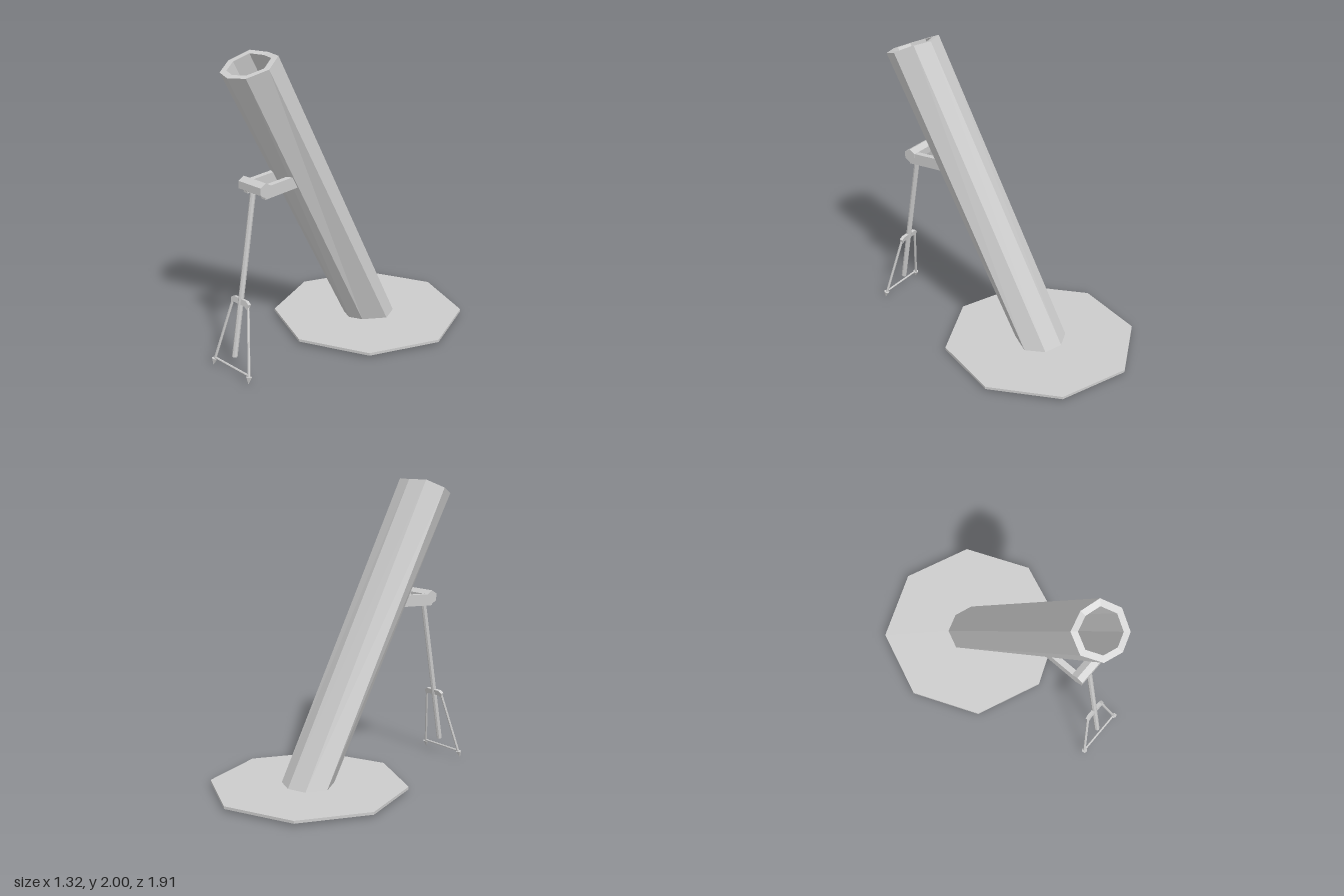
import * as THREE from 'three';

const mat = new THREE.MeshStandardMaterial({ color: 0xcccccc, flatShading: true, side: THREE.DoubleSide });
const V = (x, y, z) => new THREE.Vector3(x, y, z);

function add(parent, name, geometry) {
  const mesh = new THREE.Mesh(geometry, mat);
  mesh.name = name;
  parent.add(mesh);
  return mesh;
}

// Straight rod between two points
function rod(parent, name, a, b, r0, r1 = r0, sides = 6) {
  const mesh = add(parent, name, new THREE.CylinderGeometry(r1, r0, a.distanceTo(b), sides));
  mesh.position.copy(a).add(b).multiplyScalar(0.5);
  mesh.quaternion.setFromUnitVectors(V(0, 1, 0), b.clone().sub(a).normalize());
  return mesh;
}

// Full octagon from its right half, listed from the back to the front
function ring(half) {
  const left = half.slice(1, -1).reverse().map(([x, y, z]) => [-x, y, z]);
  return [...half, ...left];
}

// Skin through a list of equal-length rings
function loft(rings) {
  const n = rings[0].length, index = [];
  for (let i = 0; i < rings.length - 1; i++)
    for (let j = 0; j < n; j++) {
      const a = i * n + j, b = i * n + (j + 1) % n;
      index.push(a, a + n, b, b, a + n, b + n);
    }
  // Close the final ring
  for (let j = 1; j < n - 1; j++) {
    const s = (rings.length - 1) * n;
    index.push(s, s + j + 1, s + j);
  }
  const g = new THREE.BufferGeometry();
  g.setAttribute('position', new THREE.Float32BufferAttribute(rings.flat(2), 3));
  g.setIndex(index);
  const flat = g.toNonIndexed();
  flat.computeVertexNormals();
  return flat;
}

export function createModel() {
  const model = new THREE.Group();
  model.name = 'mortar';

  // Octagonal ground plate
  const plate = add(model, 'basePlate', new THREE.CylinderGeometry(0.66, 0.66, 0.018, 8));
  plate.position.set(0, 0.025, -0.3);

  // Leaning barrel: outer wall, muzzle rim, then the bore down to its floor
  const foot = ring([[0, 0.025, -0.475], [0.13, 0.025, -0.43], [0.19, 0.025, -0.3], [0.09, 0.025, -0.16], [0, 0.025, -0.12]]);
  const muzzle = ring([[0, 2, 0.57], [0.13, 2, 0.605], [0.185, 1.945, 0.725], [0.12, 1.9, 0.845], [0, 1.89, 0.885]]);
  const centre = [0, 1.945, 0.727];
  const mouth = muzzle.map(p => p.map((c, i) => centre[i] + (c - centre[i]) * 0.76));
  const floor = mouth.map(([x, y, z]) => [x, y - 1.75, z - 0.935]);
  add(model, 'barrel', loft([foot, muzzle, mouth, floor]));

  // Yoke: two arms and a front crossbar
  const yoke = new THREE.Group();
  yoke.name = 'yoke';
  model.add(yoke);
  for (const s of [-1, 1]) {
    const arm = add(yoke, 'yokeArm', new THREE.BoxGeometry(0.038, 0.078, 0.34));
    arm.position.set(s * 0.083, 1.182, 0.54);
    arm.rotation.x = 0.06;
  }
  const bar = rod(yoke, 'yokeCrossbar', V(-0.104, 1.19, 0.703), V(0.104, 1.19, 0.703), 0.048);
  bar.rotateY(Math.PI / 6);

  // Support post
  rod(model, 'supportPost', V(0, 1.17, 0.716), V(0, 0.11, 0.905), 0.018, 0.018, 8);

  // Bracket carrying the two splayed legs
  const stand = new THREE.Group();
  stand.name = 'stand';
  model.add(stand);
  const outline = new THREE.Shape([[-0.06, 0.025], [-0.085, 0.008], [-0.075, -0.025], [-0.05, -0.012],
    [0.05, -0.012], [0.075, -0.025], [0.085, 0.008], [0.06, 0.025]].map(p => new THREE.Vector2(...p)));
  const bracket = add(stand, 'legBracket',
    new THREE.ExtrudeGeometry(outline, { depth: 0.022, bevelEnabled: false }).translate(0, 0, -0.011));
  bracket.position.set(0, 0.467, 0.843);
  bracket.rotation.x = -0.18;

  for (const s of [-1, 1]) {
    rod(stand, 'leg', V(s * 0.075, 0.455, 0.845), V(s * 0.17, 0.04, 0.932), 0.009);
    // Pointed foot
    rod(stand, 'foot', V(s * 0.175, 0, 0.943), V(s * 0.171, 0.045, 0.934), 0.001, 0.02);
  }
  rod(stand, 'spreaderBar', V(-0.17, 0.05, 0.931), V(0.17, 0.05, 0.931), 0.007);

  return model;
}
